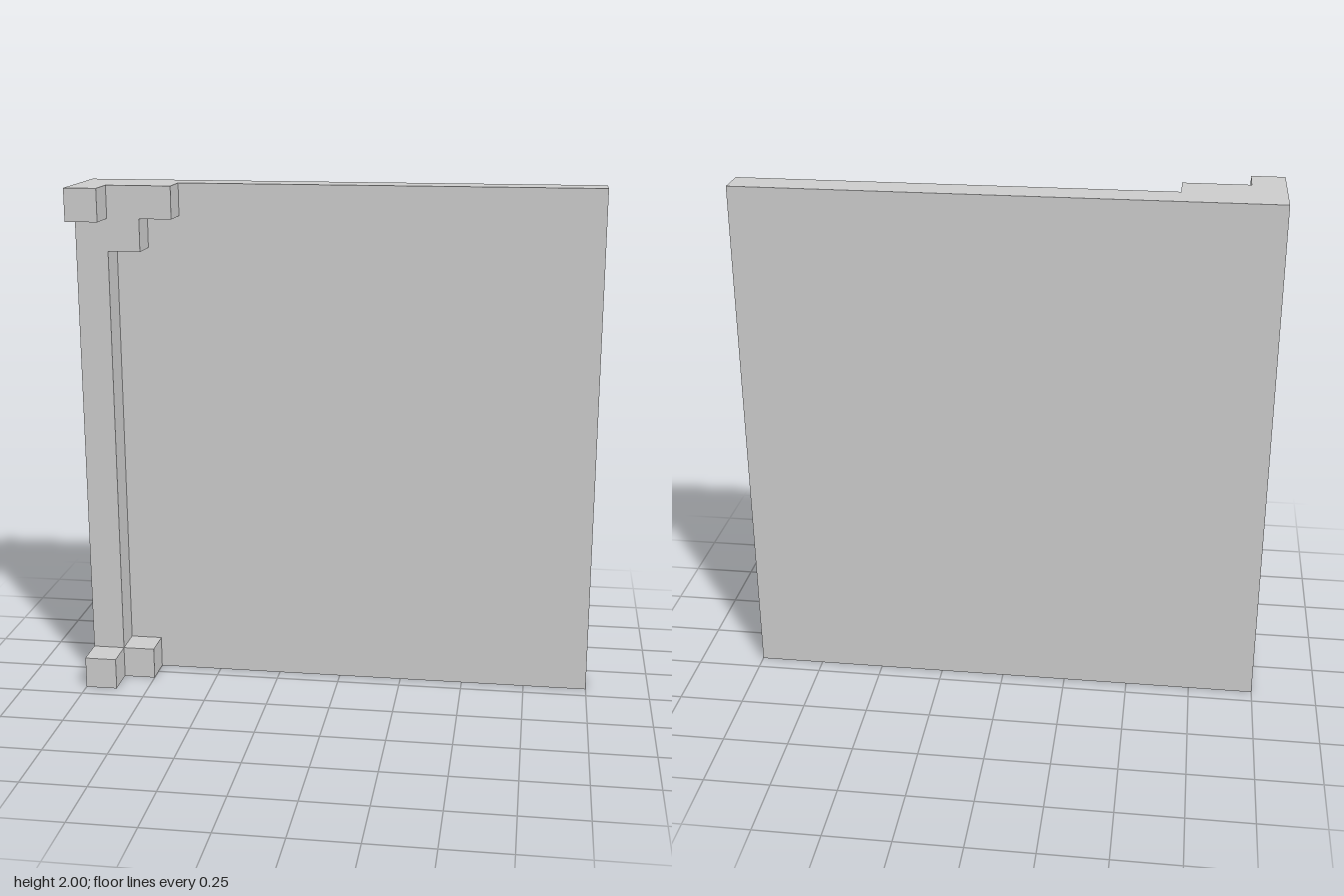
import * as THREE from 'three';

const U = 0.125; // one block

export function createModel() {
  const group = new THREE.Group();
  const material = new THREE.MeshStandardMaterial({ color: 0xcccccc, flatShading: true });

  const add = (name, geometry, x, y, z) => {
    const mesh = new THREE.Mesh(geometry, material);
    mesh.name = name;
    mesh.position.set(x, y, z);
    group.add(mesh);
  };

  // Large flat panel at the back
  add('panel', new THREE.BoxGeometry(16 * U, 16 * U, U), 0, 8 * U, -U);

  // Corner post with a stepped bracket at the top and a small step at the foot
  const outline = [[0, 0], [2, 0], [2, 1], [1, 1], [1, 14], [2, 14], [2, 15], [3, 15], [3, 16], [0, 16]];
  const shape = new THREE.Shape(outline.map(([x, y]) => new THREE.Vector2(x * U, y * U)));
  add('steppedPost', new THREE.ExtrudeGeometry(shape, { depth: U, bevelEnabled: false }), -1, 0, -U / 2);

  // Projecting blocks at both ends of the post
  for (const [name, y] of [['bottomBlock', 0.5], ['topBlock', 15.5]]) {
    add(name, new THREE.BoxGeometry(U, U, U), -1 + U / 2, y * U, U);
  }

  return group;
}
